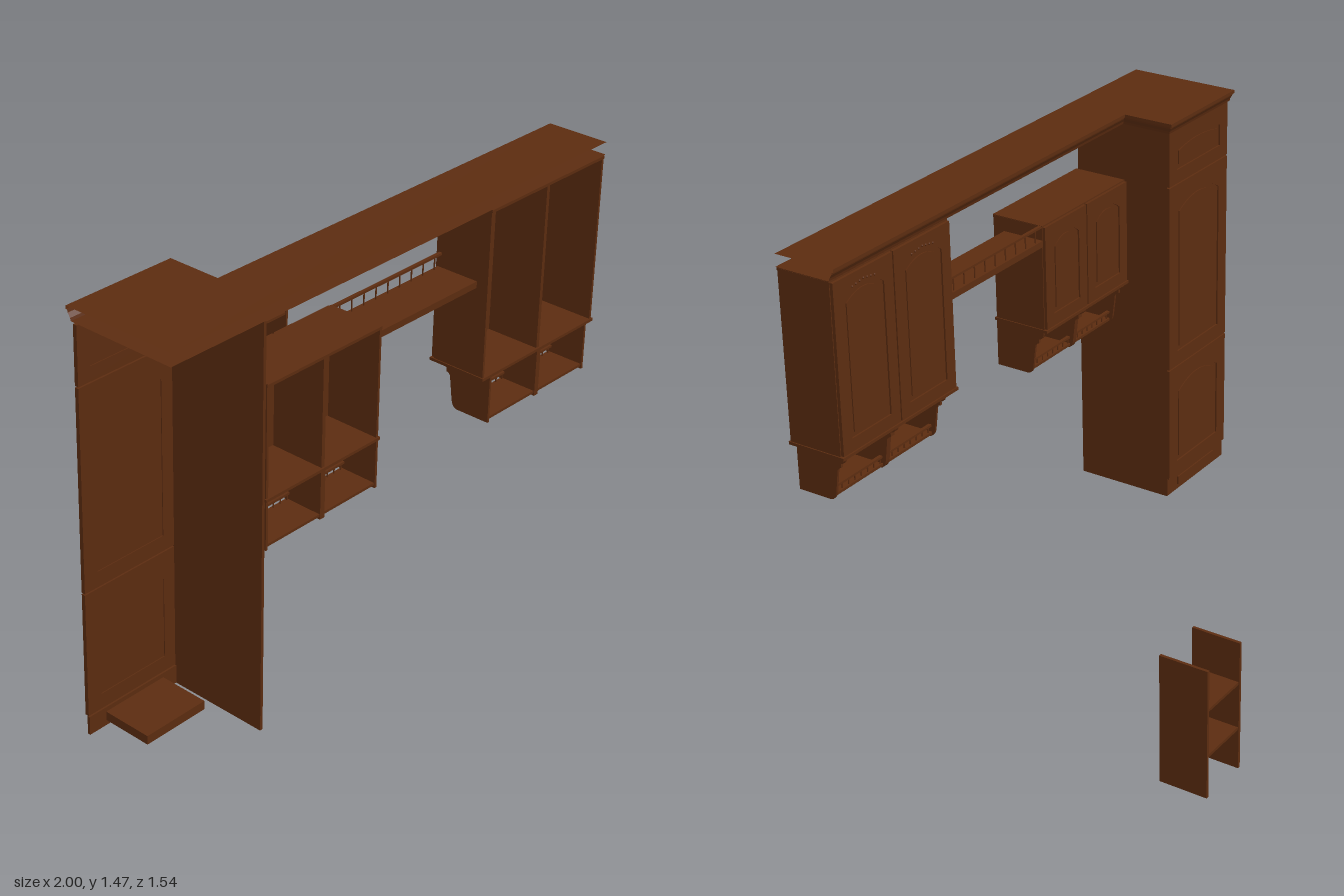
import * as THREE from 'three';

const wood = new THREE.MeshStandardMaterial({ color: 0x5c2c10, side: THREE.DoubleSide });
wood.name = 'brown wood';

function add(parent, name, geo) {
  const m = new THREE.Mesh(geo, wood);
  m.name = name;
  parent.add(m);
  return m;
}

function group(parent, name) {
  const g = new THREE.Group();
  g.name = name;
  parent.add(g);
  return g;
}

// box given by its limits
function box(parent, name, x0, x1, y0, y1, z0, z1) {
  const m = add(parent, name, new THREE.BoxGeometry(x1 - x0, y1 - y0, z1 - z0));
  m.position.set((x0 + x1) / 2, (y0 + y1) / 2, (z0 + z1) / 2);
  return m;
}

// rectangle with an arched top
function arch(path, x0, x1, y0, y1, rise) {
  path.moveTo(x0, y0);
  path.lineTo(x1, y0);
  path.lineTo(x1, y1 - rise);
  path.quadraticCurveTo((x0 + x1) / 2, y1 + rise, x0, y1 - rise);
  path.lineTo(x0, y0);
  return path;
}

const extrude = (shape, depth) =>
  new THREE.ExtrudeGeometry(shape, { depth, bevelEnabled: false, curveSegments: 12 });

// framed door whose outer face looks towards -z
function door(parent, name, x0, x1, y0, y1, z, margin, rise, beads = false) {
  const g = group(parent, name);
  const frame = new THREE.Shape();
  frame.moveTo(x0, y0);
  frame.lineTo(x1, y0);
  frame.lineTo(x1, y1);
  frame.lineTo(x0, y1);
  frame.lineTo(x0, y0);
  const m = margin;
  frame.holes.push(arch(new THREE.Path(), x0 + m, x1 - m, y0 + m, y1 - m, rise));
  add(g, 'doorFrame', extrude(frame, 0.014)).position.z = z;
  box(g, 'doorPanel', x0 + m - 0.005, x1 - m + 0.005, y0 + m - 0.005, y1 - m + 0.005, z + 0.006, z + 0.011);
  const f = m + 0.016;
  add(g, 'raisedField', extrude(arch(new THREE.Shape(), x0 + f, x1 - f, y0 + f, y1 - f, rise * 0.8), 0.005)).position.z = z + 0.002;
  if (beads) {
    for (let i = -3; i <= 3; i++) {
      const b = add(g, 'bead', new THREE.SphereGeometry(0.004, 8, 6));
      b.position.set((x0 + x1) / 2 + i * 0.018, y1 - m + 0.012 - Math.abs(i) * 0.003, z);
    }
  }
}

// row of spindles under a thin rail
function gallery(parent, x0, x1, y0, y1, z, count) {
  const g = group(parent, 'gallery');
  box(g, 'galleryRail', x0, x1, y1 - 0.008, y1, z - 0.006, z + 0.006);
  const h = y1 - y0 - 0.004;
  for (let i = 0; i < count; i++) {
    const s = add(g, 'spindle', new THREE.CylinderGeometry(0.0025, 0.0025, h, 8));
    s.position.set(x0 + ((i + 0.5) / count) * (x1 - x0), y0 + h / 2, z);
  }
}

// scrolled side bracket, drawn in z and y
function bracket(parent, x, width) {
  const s = new THREE.Shape();
  s.moveTo(0.763, 0.655);
  s.lineTo(0.635, 0.655);
  s.quadraticCurveTo(0.616, 0.658, 0.612, 0.69);
  s.lineTo(0.602, 0.765);
  s.quadraticCurveTo(0.6, 0.778, 0.586, 0.78);
  s.lineTo(0.586, 0.795);
  s.quadraticCurveTo(0.57, 0.798, 0.568, 0.812);
  s.lineTo(0.564, 0.83);
  s.lineTo(0.763, 0.83);
  const geo = extrude(s, width);
  geo.rotateY(-Math.PI / 2);
  add(parent, 'bracket', geo).position.x = x + width / 2;
}

// wall cabinet, open towards the wall, with a railed shelf below
function wallCabinet(parent, name, x0, x1, top, b0, b1, beads) {
  const g = group(parent, name);
  const mid = (x0 + x1) / 2;
  const t = 0.009;
  box(g, 'sidePanel', x0, x0 + t, 0.832, top - 0.002, 0.563, 0.763);
  box(g, 'sidePanel', x1 - t, x1, 0.832, top - 0.002, 0.563, 0.763);
  box(g, 'divider', mid - 0.007, mid + 0.007, 0.832, top - 0.002, 0.564, 0.762);
  box(g, 'topBoard', x0 + 0.001, x1 - 0.001, top - 0.01, top, 0.562, 0.766);
  box(g, 'bottomBoard', x0 - 0.004, x1 + 0.004, 0.826, 0.836, 0.549, 0.768);
  door(g, 'leftDoor', x0 + 0.003, mid - 0.003, 0.838, top - 0.005, 0.552, 0.045, 0.035, beads);
  door(g, 'rightDoor', mid + 0.003, x1 - 0.003, 0.838, top - 0.005, 0.552, 0.045, 0.035, beads);
  const bm = (b0 + b1) / 2;
  bracket(g, b0, 0.009);
  bracket(g, bm, 0.02);
  bracket(g, b1, 0.009);
  box(g, 'openShelf', b0, b1, 0.664, 0.673, 0.625, 0.76);
  gallery(g, b0, bm, 0.673, 0.7, 0.632, 8);
  gallery(g, bm, b1, 0.673, 0.7, 0.632, 8);
}

// L-shaped sheet, grown outwards by d
function cornicePath(d) {
  return [[-1, 0.37 - d], [-0.6 + d, 0.37 - d], [-0.6 + d, 0.56 - d], [1, 0.56 - d]];
}

function corniceSheet(parent, name, d, y) {
  const pts = [...cornicePath(d), [1, 0.766], [-1, 0.766]];
  const geo = new THREE.ShapeGeometry(new THREE.Shape(pts.map(p => new THREE.Vector2(p[0], -p[1]))));
  geo.rotateX(-Math.PI / 2);
  add(parent, name, geo).position.y = y;
}

// stepped moulding that follows the cornice path
function corniceMoulding(parent) {
  const profile = [[0, 1.43], [0.003, 1.44], [0.012, 1.454], [0.014, 1.463], [0.02, 1.463], [0.02, 1.474]];
  const pos = [];
  for (let i = 0; i < profile.length - 1; i++) {
    const [d0, y0] = profile[i], [d1, y1] = profile[i + 1];
    const lo = cornicePath(d0), hi = cornicePath(d1);
    for (let j = 0; j < 3; j++) {
      const a = [lo[j][0], y0, lo[j][1]], b = [lo[j + 1][0], y0, lo[j + 1][1]];
      const c = [hi[j + 1][0], y1, hi[j + 1][1]], e = [hi[j][0], y1, hi[j][1]];
      pos.push(...a, ...c, ...b, ...a, ...e, ...c);
    }
  }
  const geo = new THREE.BufferGeometry();
  geo.setAttribute('position', new THREE.Float32BufferAttribute(pos, 3));
  geo.computeVertexNormals();
  add(parent, 'corniceMoulding', geo);
}

export function createModel() {
  const model = new THREE.Group();
  model.name = 'kitchenCabinets';

  // tall unit: one side panel, three fronts and a plinth with a vent box
  const tall = group(model, 'tallUnit');
  box(tall, 'sidePanel', -0.621, -0.61, 0, 1.43, 0.387, 0.76);
  box(tall, 'plinth', -1, -0.611, 0.001, 0.068, 0.386, 0.396);
  box(tall, 'ventBox', -0.93, -0.68, 0.02, 0.052, 0.381, 0.577);
  door(tall, 'lowerDoor', -1, -0.612, 0.07, 0.514, 0.378, 0.055, 0.045);
  door(tall, 'upperDoor', -1, -0.612, 0.519, 1.221, 0.378, 0.055, 0.045);
  door(tall, 'topFront', -1, -0.612, 1.226, 1.425, 0.378, 0.05, 0.02);

  // wall cabinets
  wallCabinet(model, 'lowWallCabinet', -0.608, -0.102, 1.22, -0.603, -0.106, false);
  wallCabinet(model, 'highWallCabinet', 0.412, 0.996, 1.428, 0.457, 0.966, true);

  // railed shelf joining the wall cabinets
  const bridge = group(model, 'bridgeShelf');
  box(bridge, 'shelfBoard', -0.102, 0.412, 1.145, 1.168, 0.56, 0.72);
  gallery(bridge, -0.102, 0.412, 1.168, 1.22, 0.57, 9);

  // cornice
  const cornice = group(model, 'cornice');
  corniceSheet(cornice, 'corniceTop', 0.02, 1.474);
  corniceSheet(cornice, 'corniceBase', 0, 1.431);
  corniceMoulding(cornice);

  // small separate rack
  const rack = group(model, 'openRack');
  box(rack, 'rackSide', 0.804, 0.814, 0.067, 0.512, -0.768, -0.602);
  box(rack, 'rackSide', 0.986, 0.996, 0.067, 0.512, -0.768, -0.602);
  for (const y of [0.21, 0.371]) box(rack, 'rackShelf', 0.813, 0.987, y - 0.005, y + 0.005, -0.765, -0.604);

  return model;
}
